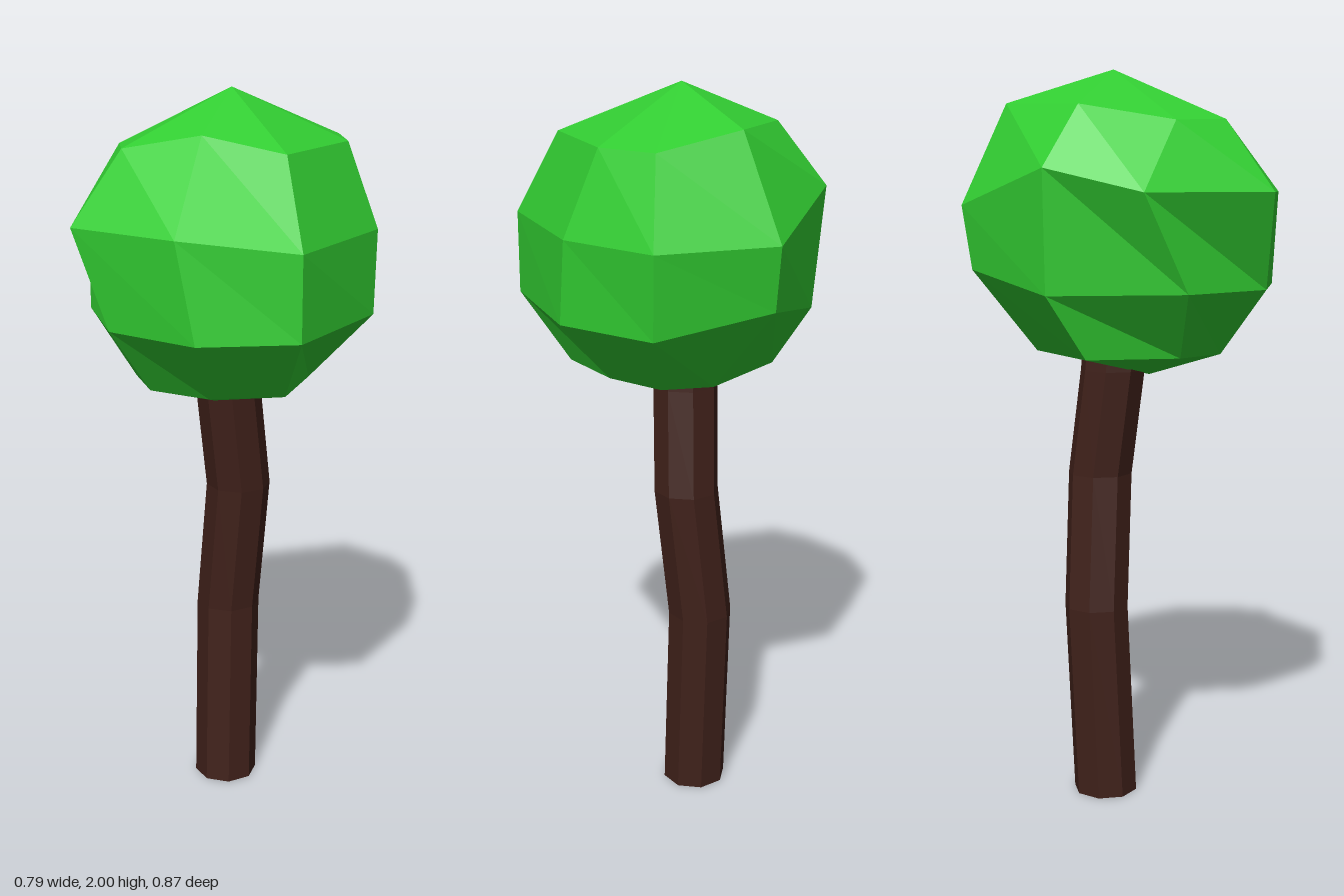
import * as THREE from 'three';

// Skin a stack of rings (top to bottom, counter-clockwise from above), closed by a tip at each end
function loft(rings, top, bottom) {
  const pos = [];
  const tri = (...corners) => corners.forEach((c) => pos.push(...c));
  const n = rings[0].length;
  const last = rings[rings.length - 1];
  for (let i = 0; i < n; i++) {
    const j = (i + 1) % n;
    tri(top, rings[0][i], rings[0][j]);
    for (let r = 0; r < rings.length - 1; r++) {
      const a = rings[r], b = rings[r + 1];
      tri(a[i], b[i], b[j]);
      tri(a[i], b[j], a[j]);
    }
    tri(bottom, last[j], last[i]);
  }
  const geo = new THREE.BufferGeometry();
  geo.setAttribute('position', new THREE.Float32BufferAttribute(pos, 3));
  geo.computeVertexNormals();
  return geo;
}

function part(name, geometry, color) {
  const mesh = new THREE.Mesh(geometry, new THREE.MeshStandardMaterial({ color, flatShading: true }));
  mesh.name = name;
  return mesh;
}

export function createModel() {
  const group = new THREE.Group();
  group.name = 'tree';

  // Trunk: octagonal section swept through a few bends, its end hidden in the crown
  const spine = [[0, 1.32, -0.02], [0, 1.2, -0.03], [0.02, 0.91, -0.062], [-0.015, 0.54, -0.08], [-0.015, 0, -0.055]];
  const trunkRings = spine.map(([x, y, z]) =>
    Array.from({ length: 8 }, (_, i) => {
      const a = (i + 0.5) * Math.PI / 4;
      return [x + 0.089 * Math.sin(a), y, z + 0.089 * Math.cos(a)];
    }));
  group.add(part('trunk', loft(trunkRings, spine[0], spine[4]), 0x40211a));

  // Crown: irregular eight-sided faceted ball, rings start at the front and go round by the left
  const crownRings = [
    [[0, 1.9, 0.2], [0.225, 1.865, 0.23], [0.305, 1.865, -0.09], [0.245, 1.865, -0.25],
      [0.03, 1.91, -0.31], [-0.2, 1.9, -0.155], [-0.26, 1.86, 0.085], [-0.2, 1.865, 0.23]],
    [[0.005, 1.68, 0.435], [0.295, 1.645, 0.335], [0.395, 1.645, -0.065], [0.315, 1.645, -0.34],
      [0.005, 1.645, -0.435], [-0.28, 1.74, -0.26], [-0.395, 1.68, -0.025], [-0.3, 1.68, 0.335]],
    [[0.055, 1.425, 0.435], [0.295, 1.425, 0.335], [0.395, 1.425, -0.04], [0.3, 1.425, -0.315],
      [0, 1.475, -0.41], [-0.25, 1.42, -0.25], [-0.345, 1.425, 0.1], [-0.2, 1.425, 0.345]],
    [[0.04, 1.25, 0.275], [0.22, 1.25, 0.2], [0.23, 1.25, -0.01], [0.18, 1.25, -0.175],
      [0.055, 1.25, -0.23], [-0.21, 1.25, -0.14], [-0.215, 1.25, 0.11], [-0.13, 1.25, 0.24]],
  ];
  group.add(part('crown', loft(crownRings, [0.01, 2, -0.025], [-0.01, 1.185, 0.07]), 0x32cd32));

  return group;
}
